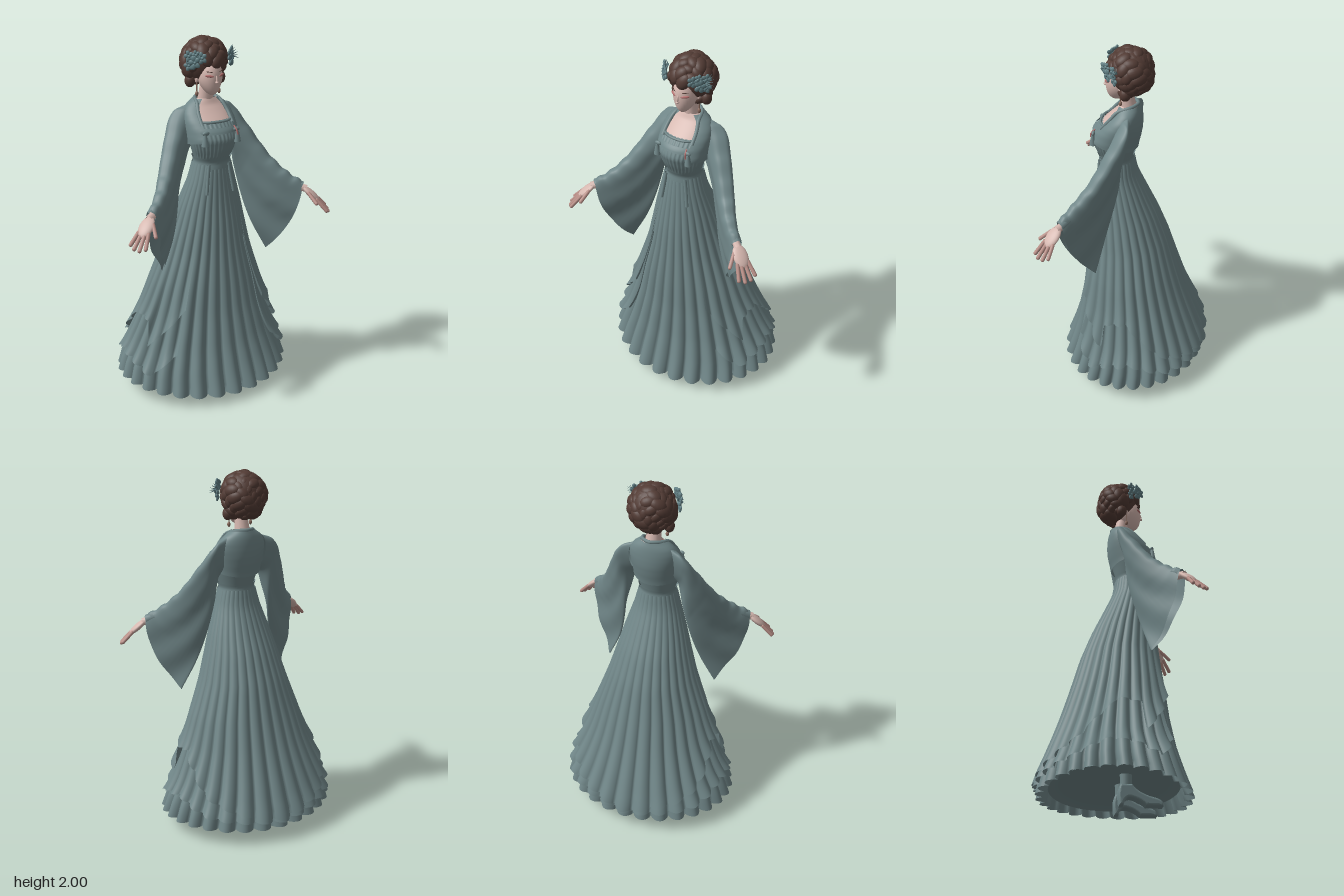
import * as THREE from 'three';

const mat = (name, color, side = THREE.FrontSide) => {
  const m = new THREE.MeshStandardMaterial({ color, side });
  m.name = name;
  return m;
};
const V = (x, y, z) => new THREE.Vector3(x, y, z);
const lerp = THREE.MathUtils.lerp;
const rad = THREE.MathUtils.degToRad;

// Piecewise linear lookup in rows [key, a, b, ...] with ascending keys
function look(rows, k) {
  let i = 1;
  while (i < rows.length - 1 && rows[i][0] < k) i++;
  const a = rows[i - 1], b = rows[i];
  const t = THREE.MathUtils.clamp((k - a[0]) / (b[0] - a[0]), 0, 1);
  return a.slice(1).map((v, j) => lerp(v, b[j + 1], t));
}

// Surface from fn(u, v); closed joins u = 1 back to u = 0
function surface(fn, nu, nv, closed) {
  const pos = [], idx = [], cols = closed ? nu : nu + 1;
  for (let j = 0; j <= nv; j++)
    for (let i = 0; i < cols; i++) pos.push(...fn(i / nu, j / nv));
  for (let j = 0; j < nv; j++)
    for (let i = 0; i < nu; i++) {
      const a = j * cols + i, b = j * cols + (i + 1) % cols;
      idx.push(a, a + cols, b, b, a + cols, b + cols);
    }
  const g = new THREE.BufferGeometry();
  g.setAttribute('position', new THREE.Float32BufferAttribute(pos, 3));
  g.setIndex(idx);
  g.computeVertexNormals();
  return g;
}

// Profiles: height, half width, front z, back z
const SKIRT = [[0.05, 0.488, 0.385, -0.385], [0.17, 0.462, 0.352, -0.37], [0.3, 0.415, 0.32, -0.335],
  [0.49, 0.35, 0.288, -0.275], [0.65, 0.305, 0.272, -0.228], [0.84, 0.24, 0.25, -0.175],
  [1.0, 0.195, 0.235, -0.115], [1.1, 0.168, 0.222, -0.068], [1.25, 0.122, 0.205, 0], [1.36, 0.092, 0.19, 0.02]];
const TORSO = [[1.28, 0.11, 0.2, 0.005], [1.35, 0.093, 0.19, 0.02], [1.42, 0.118, 0.222, 0], [1.48, 0.135, 0.24, -0.02],
  [1.53, 0.14, 0.215, -0.03], [1.57, 0.14, 0.178, -0.032], [1.61, 0.13, 0.135, -0.03],
  [1.645, 0.105, 0.1, -0.025], [1.675, 0.062, 0.085, -0.015]];

// Wraps a profile around the body between two angles (0 is the front)
function wrap(profile, o) {
  const { top, hem, from = 0, to = 360, nu = 48, nv = 16, grow = 0, pleat = () => 0, flare = 0 } = o;
  return surface((u, v) => {
    const deg = lerp(from, to, u), a = rad(deg);
    const y = lerp(top, hem(deg), v);
    const [rx, zf, zb] = look(profile, y);
    const d = grow + pleat(a, y) + flare * v ** 7;
    return [Math.sin(a) * (rx + d), y, (zf + zb) / 2 + Math.cos(a) * ((zf - zb) / 2 + d)];
  }, nu, nv, to - from === 360);
}

export function createModel() {
  const dress = mat('dressTeal', 0x708688, THREE.DoubleSide);
  const leafTeal = mat('ornamentTeal', 0x5f7d82, THREE.DoubleSide);
  const hair = mat('hairBrown', 0x523b34);
  const skin = mat('skin', 0xd5b7af, THREE.DoubleSide);
  const rosy = mat('rosySkin', 0xb98f87);
  const red = mat('makeupRed', 0xb5706e);
  const jewel = mat('jewelBrown', 0x8a6a5c);

  const model = new THREE.Group();
  const add = (parent, name, geo, m, p = [0, 0, 0], s = [1, 1, 1], r = [0, 0, 0]) => {
    const o = new THREE.Mesh(geo, m);
    o.name = name;
    o.position.set(...p);
    o.scale.set(...s);
    o.rotation.set(...r);
    parent.add(o);
    return o;
  };
  const tube = (pts, r, n = 24) => new THREE.TubeGeometry(new THREE.CatmullRomCurve3(pts.map(p => V(...p))), n, r, 8);
  const ball = new THREE.SphereGeometry(1, 16, 12);

  // Pleated skirt, its underside and the shorter layers over it; pleats soften towards the back waist
  const pleat = (a, y) => (Math.abs(Math.cos(14 * a)) ** 0.7 - 0.65)
    * lerp(0.062, 0.003, Math.min(1, y / 1.25) ** (Math.cos(a) > 0 ? 0.6 : 0.6 + 0.15 * Math.cos(a)));
  add(model, 'underSkirt', wrap(SKIRT, { top: 1.35, nu: 336, nv: 32, pleat, flare: 0.016,
    hem: d => 0.052 + 0.028 * Math.sin(rad(d)) ** 2 + 0.012 * (1 - Math.cos(rad(d))) }), dress);
  add(model, 'skirtUnderside', surface((u, v) => {
    const a = u * Math.PI * 2, k = 0.96 * (1 - v);
    return [0.455 * k * Math.sin(a), 0.115 + 0.06 * Math.sqrt(v), 0.36 * k * Math.cos(a)];
  }, 56, 10, true), dress);
  const half = rows => d => look(rows, d > 180 ? 360 - d : d)[0];
  add(model, 'overSkirt', wrap(SKIRT, { top: 1.34, from: 40, to: 320, nu: 260, nv: 30, grow: 0.01, pleat, flare: 0.032,
    hem: half([[40, 0.56], [48, 0.48], [70, 0.31], [74, 0.46], [95, 0.48], [110, 0.38], [125, 0.27], [145, 0.2], [180, 0.12]]) }), dress);
  add(model, 'middleSkirt', wrap(SKIRT, { top: 0.9, from: 42, to: 318, nu: 260, nv: 24, grow: 0.005, pleat, flare: 0.032,
    hem: half([[42, 0.3], [60, 0.17], [80, 0.22], [100, 0.24], [130, 0.16], [180, 0.11]]) }), dress);

  // Bodice, bare chest and jacket yoke
  add(model, 'bodice', wrap(TORSO, { top: 1.575, hem: () => 1.29, nu: 144, nv: 20,
    pleat: (a, y) => Math.cos(a) > 0.2 ? 0.003 * Math.cos(36 * a) * (y > 1.38 ? 1 : 0) : 0 }), dress);
  add(model, 'chest', wrap(TORSO, { top: 1.675, hem: () => 1.54, grow: -0.005 }), skin);
  add(model, 'jacketYoke', wrap(TORSO, { top: 1.675, hem: d => 1.45 + 0.03 * Math.cos(rad(d)), from: 38, to: 322,
    grow: 0.006, flare: 0.008 }), dress);
  add(model, 'belt', wrap(TORSO, { top: 1.375, hem: () => 1.315, nv: 6, grow: 0.008 }), dress);
  add(model, 'bodiceTrim', tube([[-0.095, 1.57, 0.15], [-0.05, 1.57, 0.178], [0, 1.57, 0.185], [0.05, 1.57, 0.178], [0.095, 1.57, 0.15]], 0.007), dress);
  add(model, 'chestBand', wrap(TORSO, { top: 1.545, hem: () => 1.515, from: -48, to: 48, nv: 4, grow: 0.01 }), dress);
  add(model, 'collar', tube([[-0.092, 1.555, 0.168], [-0.088, 1.61, 0.12], [-0.074, 1.655, 0.08], [-0.055, 1.675, 0.02],
    [0, 1.68, -0.014], [0.055, 1.675, 0.02], [0.074, 1.655, 0.08], [0.088, 1.61, 0.12], [0.092, 1.555, 0.168]], 0.01, 40), dress);
  add(model, 'tasselCord', tube([[0.082, 1.545, 0.2], [0.088, 1.52, 0.222], [0.092, 1.5, 0.224]], 0.004, 10), red);

  // Neck and face
  add(model, 'neck', new THREE.CylinderGeometry(0.034, 0.045, 0.13, 20), skin, [0, 1.7, 0.045], [1, 1, 1], [0.15, 0, 0]);
  const faceGeo = new THREE.SphereGeometry(1, 32, 24);
  const fp = faceGeo.attributes.position;
  for (let i = 0; i < fp.count; i++) {
    const y = fp.getY(i), k = y < 0 ? 1 - 0.35 * y * y : 1;
    fp.setXYZ(i, fp.getX(i) * 0.064 * k, y * 0.1, fp.getZ(i) * 0.074 + (y < 0 ? 0.018 * y * y : 0));
  }
  faceGeo.computeVertexNormals();
  add(model, 'face', faceGeo, skin, [0, 1.797, 0.085]);
  add(model, 'noseBridge', ball, skin, [0, 1.795, 0.155], [0.006, 0.026, 0.01], [-0.25, 0, 0]);
  add(model, 'noseTip', ball, skin, [0, 1.776, 0.16], [0.009, 0.007, 0.011]);
  add(model, 'upperLip', ball, red, [0, 1.749, 0.147], [0.015, 0.004, 0.006]);
  add(model, 'lowerLip', ball, red, [0, 1.743, 0.145], [0.012, 0.004, 0.006]);
  for (const s of [-1, 1]) {
    add(model, 'eyelid', ball, red, [s * 0.036, 1.81, 0.145], [0.023, 0.007, 0.006], [0, s * 0.55, s * 0.1]);
    add(model, 'brow', ball, hair, [s * 0.034, 1.831, 0.143], [0.018, 0.002, 0.004], [0, s * 0.5, s * 0.12]);
    add(model, 'ear', ball, skin, [s * 0.066, 1.785, 0.06], [0.01, 0.024, 0.016]);
    add(model, 'earringChain', new THREE.CylinderGeometry(0.003, 0.003, 0.06, 6), jewel, [s * 0.068, 1.74, 0.066]);
    add(model, 'earringDrop', ball, jewel, [s * 0.068, 1.705, 0.066], [0.009, 0.014, 0.009]);
  }

  // Piled hair: a core covered in curls that leave the face free
  add(model, 'hairCore', new THREE.SphereGeometry(1, 32, 24), hair, [0, 1.868, 0.018], [0.118, 0.125, 0.112]);
  const curls = new THREE.Group();
  curls.name = 'curls';
  model.add(curls);
  for (let i = 0, n = 84; i < n; i++) {
    const h = 1 - 2 * (i + 0.5) / n, a = i * 2.39996, q = Math.sqrt(1 - h * h);
    const d = V(q * Math.cos(a), h, q * Math.sin(a));
    const p = V(d.x * 0.111, 1.86 + d.y * 0.116, 0.027 + d.z * 0.108);
    if (p.z > 0.055 && p.y < 1.882 && Math.abs(p.x) < 0.09) continue;
    if (p.y < 1.77 && Math.abs(p.x) < 0.05 && p.z > -0.02) continue;
    const r = 0.03 + 0.006 * Math.sin(i * 7.3);
    const c = add(curls, 'curl', ball, hair, p.toArray(), [r * 1.35, r, r * 0.75]);
    c.lookAt(p.clone().add(d));
    c.rotateZ(i * 1.7);
  }
  for (const s of [-1, 1])
    add(curls, 'sideCurl', ball, hair, [s * 0.092, 1.772, 0.035], [0.028, 0.036, 0.03]);

  // Flower and leaf ornaments at both temples
  for (const s of [-1, 1]) {
    const orn = new THREE.Group();
    orn.name = 'hairOrnament';
    model.add(orn);
    for (const [x, y, z, r] of [[0.112, 1.885, 0.122, 0.022], [0.082, 1.91, 0.147, 0.019], [0.128, 1.915, 0.09, 0.018],
      [0.126, 1.865, 0.085, 0.018], [0.105, 1.925, 0.125, 0.015]]) {
      for (let k = 0; k < 5; k++) {
        const a = k * Math.PI * 0.4;
        add(orn, 'petal', ball, leafTeal, [s * (x + r * Math.cos(a) * 0.55), y + r * Math.sin(a), z - r * Math.cos(a) * 0.55],
          [r * 0.75, r * 0.6, 0.007], [0, s * 0.8, s * a]);
      }
      add(orn, 'flowerCentre', ball, leafTeal, [s * x, y, z + 0.004], [0.008, 0.008, 0.01]);
    }
    const leaf = new THREE.ConeGeometry(0.005, 0.05, 6);
    for (let k = 0; k < 6; k++) {
      const a = -0.3 + k * 0.27, l = s > 0 ? 0.028 : 0.012;
      add(orn, 'leaf', leaf, leafTeal, [s * (0.122 + l * Math.cos(a)), 1.895 + 0.035 * Math.sin(a), 0.1 - k * 0.006],
        [1, s > 0 ? 1 : 0.7, 1], [0, 0, s * (a - Math.PI / 2)]);
    }
  }

  // One side: sleeve, arm, hand, tassel, ribbon and shoe
  const buildSide = () => {
    const g = new THREE.Group();
    const upper = new THREE.CatmullRomCurve3([V(0.09, 1.645, 0.035), V(0.16, 1.615, 0.03), V(0.24, 1.49, 0.09),
      V(0.32, 1.345, 0.17), V(0.39, 1.255, 0.245), V(0.465, 1.195, 0.305)]);
    const lower = new THREE.CatmullRomCurve3([V(0.09, 1.46, 0.07), V(0.135, 1.42, 0.065), V(0.165, 1.28, 0.06),
      V(0.2, 1.12, 0.08), V(0.25, 0.95, 0.115), V(0.325, 0.775, 0.16)]);
    const sleeve = surface((u, v) => {
      const a = u * Math.PI * 2, s = (1 - Math.cos(a)) / 2, sn = Math.sin(a);
      const p = upper.getPoint(v).lerp(lower.getPoint(v), s);
      const w = (lerp(0.06, 0.045, v) + 0.012 * Math.sin(Math.PI * v)) * (1 - 0.72 * s * Math.min(1, v * 2))
        * Math.sign(sn) * Math.abs(sn) ** 0.7 + 0.01 * Math.sin(s * 14 + v * 9) * v * s;
      const b = 0.05 * v ** 3 * Math.sin(Math.PI * s);
      const fold = 0.006 * Math.sin(v * 48 + s * 8) * (1 - s) * v;
      return [p.x - 0.67 * w + b * 0.7, p.y + fold, p.z + 0.74 * w + b * 0.8];
    }, 48, 60, true);
    add(g, 'sleeve', sleeve, dress);
    add(g, 'forearm', tube([[0.43, 1.17, 0.275], [0.485, 1.155, 0.315]], 0.021), skin);
    add(g, 'cuff', tube([[0.425, 1.19, 0.268], [0.464, 1.168, 0.3]], 0.028), dress);

    // Hand: local x runs to the fingertips, z to the thumb side
    const hand = new THREE.Group();
    hand.name = 'hand';
    const d = V(0.145, -0.145, 0.085).normalize(), side = V(-0.53, 0, 0.85).normalize();
    side.addScaledVector(d, -side.dot(d)).normalize();
    hand.quaternion.setFromRotationMatrix(new THREE.Matrix4().makeBasis(d, side.clone().cross(d), side));
    hand.position.set(0.47, 1.163, 0.308);
    g.add(hand);
    add(hand, 'palm', ball, skin, [0.058, 0, 0], [0.064, 0.018, 0.041]);
    const finger = (len, x, z, a) => {
      const f = add(hand, 'finger', new THREE.CapsuleGeometry(0.0105, len, 4, 8), rosy,
        [x + Math.cos(a) * len / 2, -0.004, z + Math.sin(a) * len / 2]);
      f.quaternion.setFromUnitVectors(V(0, 1, 0), V(Math.cos(a), -0.1, Math.sin(a)).normalize());
    };
    [0.075, 0.092, 0.095, 0.082].forEach((len, i) => finger(len, 0.095, -0.029 + i * 0.02, -0.2 + i * 0.14));
    finger(0.075, 0.035, 0.03, 0.6);

    // Chest tassel and waist ribbon
    add(g, 'tasselKnot', ball, dress, [0.092, 1.525, 0.208], [0.02, 0.012, 0.01]);
    add(g, 'tassel', new THREE.CylinderGeometry(0.008, 0.02, 0.06, 10), dress, [0.098, 1.488, 0.21]);
    add(g, 'waistRibbon', tube([[0.06, 1.34, 0.186], [0.07, 1.27, 0.192], [0.083, 1.18, 0.203]], 0.009), dress);

    // Leg and heeled shoe
    add(g, 'leg', new THREE.CylinderGeometry(0.045, 0.03, 0.5, 16), dress, [0.1, 0.33, 0.05]);
    const sole = new THREE.Shape();
    sole.moveTo(0.24, 0);
    sole.quadraticCurveTo(0.245, 0.035, 0.19, 0.045);
    sole.quadraticCurveTo(0.11, 0.065, 0.08, 0.11);
    sole.lineTo(0.018, 0.11);
    sole.quadraticCurveTo(0, 0.07, 0.012, 0);
    sole.lineTo(0.034, 0);
    sole.quadraticCurveTo(0.04, 0.04, 0.07, 0.04);
    sole.quadraticCurveTo(0.12, 0.03, 0.15, 0);
    const shoe = new THREE.ExtrudeGeometry(sole, { depth: 0.048, bevelSize: 0.012, bevelThickness: 0.014, bevelOffset: -0.012, bevelSegments: 4 });
    shoe.translate(0, 0, -0.024);
    add(g, 'shoe', shoe, dress, [0.1, 0, 0], [1, 1, 1], [0, -Math.PI / 2, 0]);
    return g;
  };
  const left = buildSide(), right = buildSide();
  left.name = 'leftSide';
  right.name = 'rightSide';
  right.scale.x = -1;
  model.add(left, right);
  return model;
}
